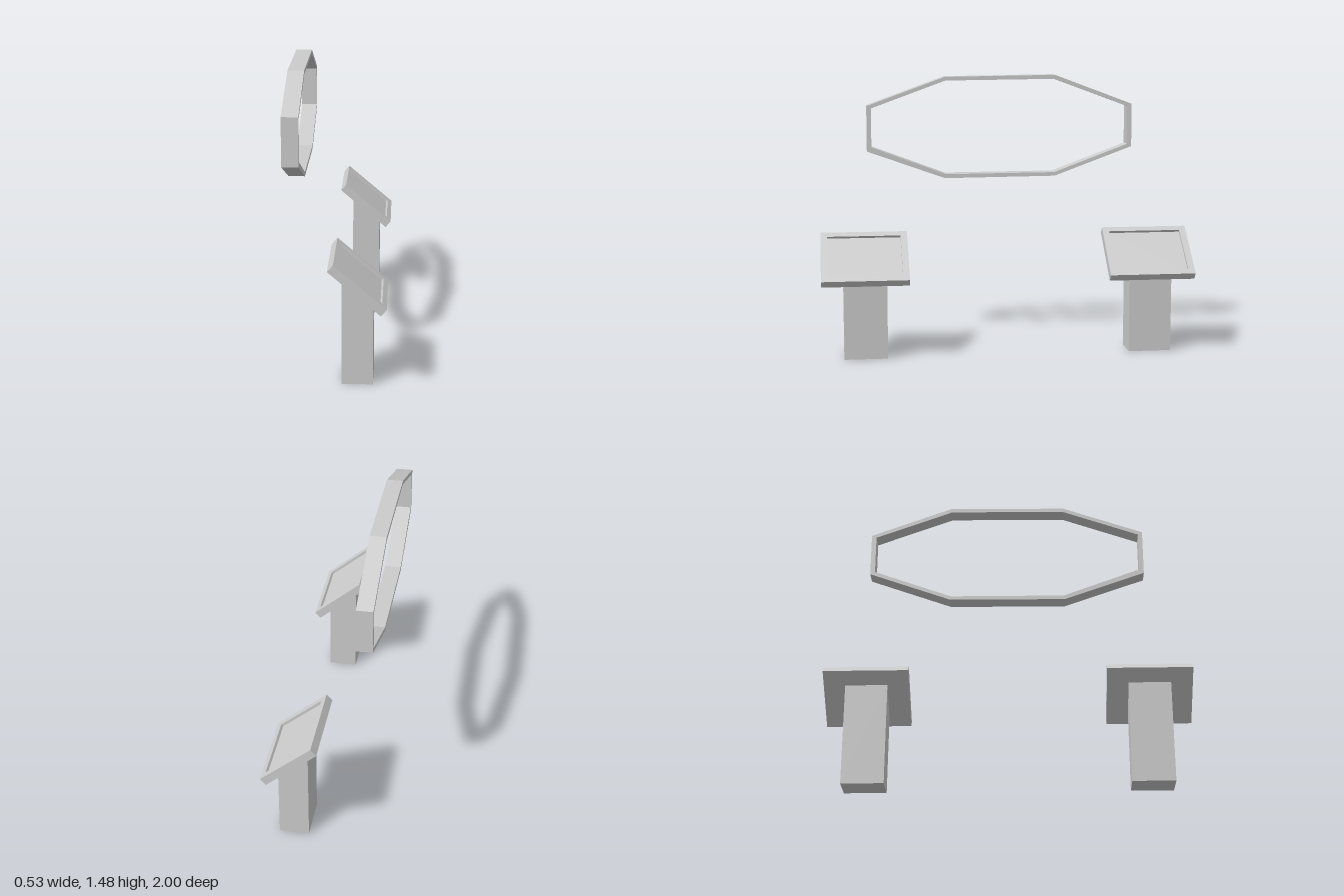
import * as THREE from 'three';

const material = new THREE.MeshStandardMaterial({ color: 0xcccccc, flatShading: true });

const points = (list) => list.map(([x, y]) => new THREE.Vector2(x, y));
const rect = (w, h) => points([[-w / 2, -h / 2], [w / 2, -h / 2], [w / 2, h / 2], [-w / 2, h / 2]]);

function extrude(outline, depth, hole) {
  const shape = new THREE.Shape(outline);
  if (hole) shape.holes.push(new THREE.Path(hole));
  return new THREE.ExtrudeGeometry(shape, { depth, bevelEnabled: false });
}

function part(name, geometry) {
  const mesh = new THREE.Mesh(geometry, material);
  mesh.name = name;
  return mesh;
}

// Floating eight-sided hoop, drawn as (-z, y) and extruded along x
function createRing() {
  const outer = points([
    [-0.738, 1.07], [-0.312, 0.918], [0.3, 0.923], [0.733, 1.083],
    [0.733, 1.32], [0.3, 1.483], [-0.312, 1.475], [-0.738, 1.32],
  ]);
  const inner = points([
    [-0.715, 1.092], [-0.308, 0.94], [0.297, 0.943], [0.708, 1.096],
    [0.708, 1.308], [0.297, 1.461], [-0.308, 1.455], [-0.715, 1.306],
  ]);
  const geometry = extrude(outer, 0.086, inner);
  geometry.rotateY(Math.PI / 2);
  const ring = part('ring', geometry);
  ring.position.x = -0.265;
  return ring;
}

// Post with a slanted top carrying a tilted panel with a recessed screen
function createConsole(name, z) {
  const group = new THREE.Group();
  group.name = name;
  group.position.z = z;

  const postDepth = 0.23;
  const post = part('post', extrude(points([[0.038, 0], [0.193, 0], [0.193, 0.432], [0.038, 0.563]]), postDepth));
  post.position.z = -postDepth / 2;

  const panel = new THREE.Group();
  panel.name = 'panel';
  panel.position.set(0.1165, 0.5275, 0);
  panel.rotation.z = -0.702;

  const length = 0.341, width = 0.464, thickness = 0.045, recess = 0.015;
  const backing = part('panelBack', new THREE.BoxGeometry(length, thickness - recess, width));
  backing.position.y = -recess / 2;
  const frameGeometry = extrude(rect(length, width), recess, rect(length - 0.06, width - 0.07));
  frameGeometry.rotateX(-Math.PI / 2);
  const frame = part('screenFrame', frameGeometry);
  frame.position.y = thickness / 2 - recess;
  panel.add(backing, frame);

  group.add(post, panel);
  return group;
}

export function createModel() {
  const model = new THREE.Group();
  model.name = 'consolesAndRing';
  model.add(createRing(), createConsole('frontConsole', 0.768), createConsole('backConsole', -0.768));
  return model;
}
